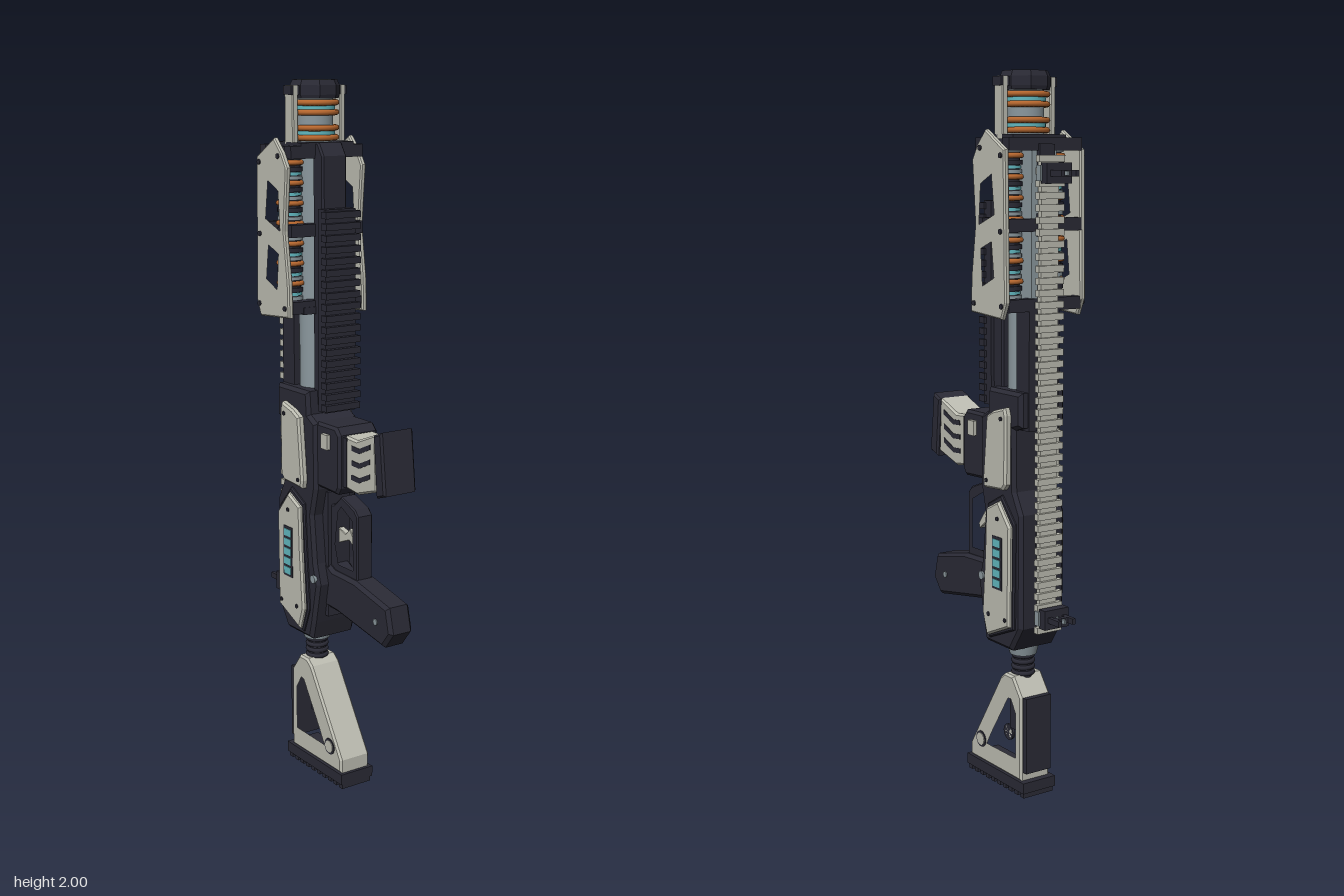
import * as THREE from 'three';

const mat = (name, color) => {
  const m = new THREE.MeshStandardMaterial({ color });
  m.name = name;
  return m;
};

export function createModel() {
  const root = new THREE.Group();
  root.name = 'sciFiRifle';
  const dark = mat('darkPolymer', 0x2a2a35);
  const light = mat('paleArmour', 0xbdbdb2);
  const steel = mat('blueSteel', 0x8b989e);
  const copper = mat('copper', 0xb8682f);
  const cyan = mat('cyanGlow', 0x62b9c1);
  const BZ = -0.108; // bore axis

  const add = (name, geo, material, x = 0, y = 0, z = 0) => {
    const m = new THREE.Mesh(geo, material);
    m.name = name;
    m.position.set(x, y, z);
    root.add(m);
  };
  const box = (name, material, x0, x1, y0, y1, z0, z1) =>
    add(name, new THREE.BoxGeometry(x1 - x0, y1 - y0, z1 - z0), material,
      (x0 + x1) / 2, (y0 + y1) / 2, (z0 + z1) / 2);
  const cyl = (name, material, r, y0, y1, x = 0, z = BZ, segments = 32, r2 = r) =>
    add(name, new THREE.CylinderGeometry(r2, r, y1 - y0, segments), material, x, (y0 + y1) / 2, z);
  const ring = (name, material, r, tube, y, x = 0, z = BZ) =>
    add(name, new THREE.TorusGeometry(r, tube, 8, 32).rotateX(Math.PI / 2), material, x, y, z);
  // Round stud pointing sideways
  const stud = (name, material, r, x0, x1, y, z, segments = 12) =>
    add(name, new THREE.CylinderGeometry(r, r, x1 - x0, segments).rotateZ(Math.PI / 2), material, (x0 + x1) / 2, y, z);
  // Side profile of [z, y] points, extruded across x0..x1 with a chamfer
  const profile = (name, material, pts, x0, x1, bevel = 0.006, holes = []) => {
    const path = p => p.map(([z, y]) => new THREE.Vector2(-z, y));
    const s = new THREE.Shape(path(pts));
    holes.forEach(h => s.holes.push(new THREE.Path(path(h))));
    const g = new THREE.ExtrudeGeometry(s, {
      depth: x1 - x0 - 2 * bevel, bevelEnabled: bevel > 0, bevelSize: bevel,
      bevelThickness: bevel, bevelOffset: -bevel, bevelSegments: 1,
    });
    g.translate(0, 0, x0 + bevel).rotateY(Math.PI / 2);
    add(name, g, material);
  };
  // Runs a builder for each side, with a mirrored x range
  const sides = fn => [1, -1].forEach(s => fn((a, b) => (s > 0 ? [a, b] : [-b, -a]), s));

  // Butt pad with ribs
  box('buttPad', dark, -0.055, 0.055, 0.015, 0.046, -0.185, 0.1);
  for (let i = 0; i < 10; i++) {
    const z = -0.172 + i * 0.029;
    box('buttRib', dark, -0.05, 0.05, 0, 0.02, z - 0.008, z + 0.008);
  }

  // Skeleton stock
  profile('stock', light, [[0.09, 0.045], [0.09, 0.085], [-0.062, 0.325], [-0.085, 0.343], [-0.125, 0.343],
    [-0.165, 0.29], [-0.165, 0.045]], -0.05, 0.05, 0.006,
  [[[0.012, 0.1], [-0.015, 0.15], [-0.098, 0.278], [-0.118, 0.283], [-0.145, 0.24], [-0.145, 0.1]]]);
  box('stockBackPad', dark, -0.042, 0.042, 0.07, 0.29, -0.181, -0.16);
  box('stockRod', dark, -0.02, 0.02, 0.17, 0.33, -0.106, -0.07);
  sides(r => {
    stud('stockPivotRim', dark, 0.024, ...r(0.045, 0.052), 0.11, 0.033, 24);
    stud('stockPivot', light, 0.018, ...r(0.045, 0.054), 0.11, 0.033, 24);
  });

  // Stock tube and collar
  cyl('stockTube', dark, 0.028, 0.32, 0.42, 0, -0.105);
  for (let i = 0; i < 4; i++) ring('stockTubeRing', dark, 0.027, 0.007, 0.345 + i * 0.017, 0, -0.105);
  cyl('stockCollar', steel, 0.038, 0.4, 0.435, 0, -0.105, 32, 0.046);

  // Receiver
  profile('receiver', dark, [[-0.025, 0.428], [-0.15, 0.428], [-0.197, 0.5], [-0.197, 0.82], [-0.165, 0.88],
    [-0.162, 1.05], [-0.195, 1.06], [-0.195, 1.155], [-0.04, 1.155], [-0.035, 1.09], [0.0, 1.07],
    [0.0, 0.88], [-0.02, 0.8], [-0.005, 0.66], [0.012, 0.6], [-0.012, 0.48]], -0.075, 0.075, 0.01);
  box('receiverSpine', dark, -0.037, 0.037, 0.5, 0.87, -0.05, 0.008);

  // Side armour panels, charge display and screws
  sides(r => {
    profile('lowerPanelEdge', dark, [[-0.048, 0.83], [-0.115, 0.865], [-0.178, 0.795], [-0.175, 0.495],
      [-0.055, 0.445], [-0.026, 0.52], [-0.04, 0.7]], ...r(0.07, 0.083), 0.004);
    profile('lowerPanel', light, [[-0.055, 0.82], [-0.115, 0.85], [-0.17, 0.785], [-0.166, 0.502],
      [-0.058, 0.455], [-0.036, 0.52], [-0.05, 0.7]], ...r(0.076, 0.094), 0.006);
    profile('upperPanel', light, [[-0.058, 1.08], [-0.09, 1.097], [-0.145, 1.112], [-0.152, 1.09], [-0.15, 0.9],
      [-0.135, 0.883], [-0.045, 0.877], [-0.04, 0.9]], ...r(0.07, 0.094), 0.006);
    box('displayFrame', dark, ...r(0.09, 0.0955), 0.6, 0.75, -0.136, -0.09);
    for (let i = 0; i < 5; i++)
      box('chargeBar', cyan, ...r(0.092, 0.0975), 0.607 + i * 0.0285, 0.628 + i * 0.0285, -0.13, -0.096);
    [[0.52, -0.07], [0.8, -0.113], [0.52, -0.15], [1.08, -0.13], [0.9, -0.06]].forEach(([y, z]) =>
      stud('panelScrew', dark, 0.006, ...r(0.09, 0.097), y, z));
    stud('gripPin', steel, 0.012, ...r(0.07, 0.08), 0.615, -0.01);
  });

  // Magazine well and curved magazine
  profile('magazineWell', dark, [[-0.03, 0.89], [0.09, 0.885], [0.103, 0.905], [0.103, 1.055], [0.085, 1.075],
    [-0.03, 1.075]], -0.066, 0.066, 0.008);
  box('magazineWellLip', dark, -0.052, 0.052, 0.91, 1.05, 0.1, 0.118);
  sides(r => box('magazineCatch', light, ...r(0.06, 0.077), 1.008, 1.05, 0.03, 0.06));
  profile('magazine', light, [[0.108, 0.907], [0.165, 0.9], [0.255, 0.928], [0.245, 1.085], [0.16, 1.052], [0.108, 1.055]],
    -0.049, 0.049, 0.006);
  profile('magazineCap', dark, [[0.242, 1.083], [0.278, 1.097], [0.297, 0.925], [0.258, 0.912]], -0.054, 0.054, 0.006);
  sides(r => {
    for (let i = 0; i < 3; i++) {
      const y = 0.938 + i * 0.041;
      profile('magazineSlot', dark, [[0.14, y], [0.175, y - 0.002], [0.225, y + 0.02], [0.225, y + 0.034],
        [0.175, y + 0.012], [0.14, y + 0.014]], ...r(0.046, 0.051), 0);
    }
  });

  // Grip, trigger guard and trigger
  profile('grip', dark, [[-0.02, 0.67], [0.03, 0.645], [0.135, 0.642], [0.292, 0.608], [0.31, 0.535], [0.273, 0.488],
    [0.055, 0.525], [-0.02, 0.53]], -0.039, 0.039, 0.01);
  profile('triggerGuard', dark, [[0.135, 0.63], [0.135, 0.825], [0.118, 0.843], [0.055, 0.866], [0.02, 0.835], [-0.02, 0.83],
    [-0.02, 0.63]], -0.026, 0.026, 0.004,
  [[[0.118, 0.66], [0.115, 0.81], [0.055, 0.842], [0.037, 0.82], [0.022, 0.72], [0.04, 0.66]]]);
  profile('trigger', light, [[0.02, 0.765], [0.055, 0.755], [0.075, 0.775], [0.105, 0.735], [0.1, 0.72], [0.072, 0.74],
    [0.02, 0.72]], -0.01, 0.01, 0.002);
  sides(r => stud('gripScrew', steel, 0.009, ...r(0.034, 0.042), 0.555, 0.24));

  // Barrel, spine and fore-end
  cyl('barrel', steel, 0.045, 1.14, 1.96);
  profile('frontSpine', dark, [[-0.01, 1.11], [-0.06, 1.11], [-0.06, 1.835], [-0.035, 1.835], [-0.012, 1.8]], -0.04, 0.04, 0.005);
  box('backSpine', dark, -0.05, 0.05, 1.05, 1.38, -0.2, -0.142);
  box('backSpineUpper', steel, -0.04, 0.04, 1.38, 1.82, -0.195, -0.14);

  // Front accessory rail
  box('frontRail', dark, -0.05, 0.05, 1.1, 1.66, -0.02, 0.015);
  for (let i = 0; i < 18; i++) {
    const y = 1.115 + i * 0.0312;
    box('frontRailTooth', dark, -0.057, 0.057, y - 0.009, y + 0.009, 0.004, 0.03);
  }

  // Coil tubes on both sides of the barrel
  sides((r, s) => {
    const x = s * 0.068, z = -0.13;
    cyl('coilCore', dark, 0.029, 1.37, 1.82, x, z, 24);
    for (let i = 0; i < 8; i++) {
      const y = 1.395 + i * 0.055;
      ring('coilCopper', copper, 0.033, 0.007, y, x, z);
      cyl('coilSteel', steel, 0.035, y + 0.009, y + 0.019, x, z, 24);
      cyl('coilGlow', cyan, 0.032, y + 0.021, y + 0.029, x, z, 24);
      cyl('coilSpacer', dark, 0.036, y + 0.031, y + 0.043, x, z, 24);
    }
  });

  // Cross bars carrying the shield plates
  [1.39, 1.6, 1.81].forEach(y => {
    box('backCrossBar', dark, -0.118, 0.118, y - 0.017, y + 0.017, -0.203, -0.174);
    box('frontCrossBar', dark, -0.118, 0.118, y - 0.017, y + 0.017, -0.08, -0.048);
  });
  box('foreEndCap', dark, -0.086, 0.086, 1.8, 1.835, -0.175, -0.046);
  box('foreEndBase', dark, -0.08, 0.08, 1.37, 1.39, -0.17, -0.046);

  // Pierced shield plates
  sides(r => {
    profile('shieldPlate', light, [[-0.112, 1.848], [-0.2, 1.795], [-0.207, 1.4], [-0.188, 1.355], [-0.042, 1.365],
      [-0.045, 1.46], [-0.064, 1.6], [-0.05, 1.77], [-0.075, 1.81]], ...r(0.115, 0.132), 0.004,
    [[[-0.088, 1.71], [-0.145, 1.737], [-0.16, 1.625], [-0.08, 1.595]],
      [[-0.088, 1.54], [-0.145, 1.562], [-0.158, 1.46], [-0.097, 1.433]]]);
    [[1.39, -0.19], [1.39, -0.06], [1.78, -0.185], [1.8, -0.09], [1.585, -0.185]].forEach(([y, z]) =>
      stud('shieldScrew', dark, 0.007, ...r(0.128, 0.136), y, z));
  });

  // Muzzle: coils, struts and octagonal cap
  cyl('muzzleSleeve', steel, 0.05, 1.82, 1.96);
  [1.858, 1.925].forEach(y => {
    ring('muzzleCopperRing', copper, 0.059, 0.008, y - 0.012);
    cyl('muzzleGlow', cyan, 0.055, y - 0.005, y + 0.008);
    ring('muzzleCopperRing', copper, 0.059, 0.008, y + 0.014);
  });
  sides(r => {
    profile('muzzleStrut', light, [[-0.086, 1.79], [-0.086, 1.985], [-0.128, 1.985], [-0.128, 1.79]], ...r(0.068, 0.086), 0.003);
    box('muzzleLug', dark, ...r(0.04, 0.09), 1.96, 1.984, -0.127, -0.087);
  });
  const lathe = (name, material, pts, segments) => {
    const g = new THREE.LatheGeometry(pts.map(p => new THREE.Vector2(...p)), segments, Math.PI / 8).toNonIndexed();
    g.computeVertexNormals();
    add(name, g, material, 0, 0, BZ);
  };
  lathe('muzzleCap', dark, [[0.04, 1.95], [0.066, 1.95], [0.069, 1.96], [0.069, 1.985], [0.062, 2], [0.05, 2]], 8);
  lathe('muzzleLip', steel, [[0.052, 1.99], [0.05, 2], [0.04, 2], [0.039, 1.95]], 32);
  cyl('bore', dark, 0.039, 1.95, 1.975);

  // Long back sight rail
  box('backRail', light, -0.028, 0.028, 0.49, 1.78, -0.222, -0.207);
  for (let i = 0; i < 41; i++) {
    const y = 0.5 + i * 0.0318;
    box('backRailTooth', light, -0.041, 0.041, y - 0.009, y + 0.009, -0.231, -0.214);
  }
  [0.53, 0.75, 1.1, 1.3, 1.6, 1.78].forEach(y =>
    box('backRailMount', dark, -0.024, 0.024, y - 0.03, y + 0.03, -0.21, -0.19));

  // Folding sights
  [0.537, 1.735].forEach(y => {
    box('sightClamp', steel, -0.045, 0.045, y - 0.02, y + 0.02, -0.24, -0.222);
    box('sightBase', dark, -0.04, 0.04, y - 0.027, y + 0.027, -0.263, -0.236);
    sides(r => box('sightEar', dark, ...r(0.018, 0.029), y - 0.008, y + 0.008, -0.31, -0.26));
    box('sightBridge', dark, -0.029, 0.029, y - 0.008, y + 0.008, -0.29, -0.276);
    box('sightPost', steel, -0.003, 0.003, y - 0.006, y + 0.006, -0.302, -0.26);
  });

  return root;
}
